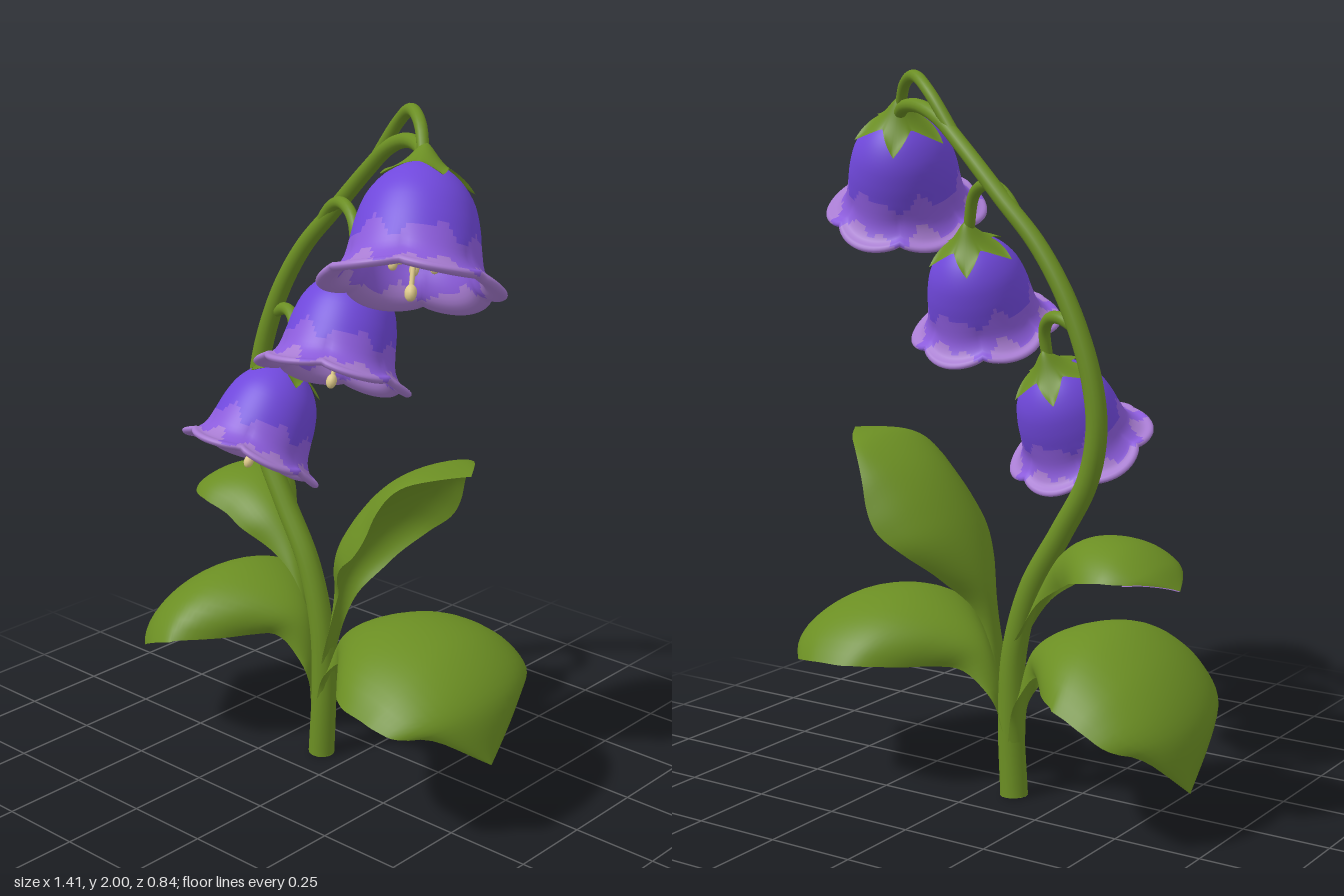
import * as THREE from 'three';

const mat = (name, color, side = THREE.FrontSide) => {
  const m = new THREE.MeshStandardMaterial({ color, side });
  m.name = name;
  return m;
};
const green = mat('leafGreen', 0x6b8e23, THREE.DoubleSide);
const petals = [mat('petalViolet', 0x7048dc), mat('petalMid', 0x8c5cdc), mat('petalRimLilac', 0xa87cd2, THREE.DoubleSide)];
const cream = mat('stamenCream', 0xdcc888);
const V = (p) => new THREE.Vector3(...p);

// Surface from a rule point(u, v); wraps around in v when closed. pick(u, v) chooses a material index.
function surface(rows, cols, point, closed, pick) {
  const pos = [], n = closed ? cols : cols + 1;
  for (let i = 0; i <= rows; i++)
    for (let j = 0; j < n; j++) pos.push(...point(i / rows, j / cols));
  const bins = [[], [], []];
  for (let i = 0; i < rows; i++)
    for (let j = 0; j < cols; j++) {
      const k = (j + 1) % n, a = i * n + j, b = i * n + k, c = a + n, d = b + n;
      bins[pick ? pick((i + 0.5) / rows, (j + 0.5) / cols) : 0].push(a, b, c, b, d, c);
    }
  const g = new THREE.BufferGeometry();
  g.setAttribute('position', new THREE.Float32BufferAttribute(pos, 3));
  g.setIndex(bins.flat());
  if (pick) {
    let start = 0;
    bins.forEach((b, i) => { g.addGroup(start, b.length, i); start += b.length; });
  }
  g.computeVertexNormals();
  return g;
}

function add(parent, name, geometry, material) {
  const m = new THREE.Mesh(geometry, material);
  m.name = name;
  parent.add(m);
  return m;
}

// Tube that tapers from r0 to r1
function taperedTube(points, r0, r1, rows, cols = 14) {
  const curve = new THREE.CatmullRomCurve3(points.map(V));
  const f = curve.computeFrenetFrames(rows, false);
  return surface(rows, cols, (u, v) => {
    const i = Math.round(u * rows), a = v * Math.PI * 2, r = r0 + (r1 - r0) * u;
    return curve.getPointAt(u)
      .addScaledVector(f.normals[i], r * Math.cos(a))
      .addScaledVector(f.binormals[i], r * Math.sin(a)).toArray();
  }, true);
}

// Leaf along a midrib; shape gives [half width, droop of the edges] at even steps.
// It can begin part of the way along (from) and be sunk below the leaf face (sink).
function leaf(midrib, shape, dir, from = 0, sink = 0) {
  const rib = new THREE.CatmullRomCurve3(midrib.map(V));
  const form = new THREE.CatmullRomCurve3(shape.map(([w, d]) => new THREE.Vector3(w, d, 0)), false, 'catmullrom', 0.5);
  const Z = new THREE.Vector3(0, 0, 1);
  return surface(48, 20, (u, v) => {
    const t = from + (1 - from) * u, s = v * 2 - 1, q = form.getPoint(t), w = Math.max(q.x, 0);
    const up = Z.clone().cross(rib.getTangent(t)).normalize().multiplyScalar(dir);
    return rib.getPoint(t).addScaledVector(Z, w * Math.sin(1.15 * s) / Math.sin(1.15))
      .addScaledVector(up, -q.y * w * s * s - sink).toArray();
  }, false);
}

// Bell profile: down the outside, round the rim, up the inside
const profile = new THREE.SplineCurve([
  [0, 0], [0.05, -0.012], [0.1, -0.048], [0.137, -0.1], [0.156, -0.16], [0.165, -0.215], [0.178, -0.265],
  [0.206, -0.298], [0.232, -0.306], [0.238, -0.318], [0.222, -0.325], [0.186, -0.308], [0.162, -0.268],
  [0.15, -0.215], [0.142, -0.16], [0.12, -0.1], [0.07, -0.045], [0, -0.025],
].map(([x, y]) => new THREE.Vector2(x, y)));

function bellPoint(u, v) {
  const p = profile.getPoint(u), a = v * Math.PI * 2;
  const flare = THREE.MathUtils.smoothstep(-p.y, 0.2, 0.31);
  const lobe = Math.pow(Math.abs(Math.sin(3 * a)), 0.8);
  const r = Math.max(p.x, 0) * (1 - 0.09 * flare * (1 - lobe));
  return [r * Math.cos(a), p.y - 0.018 * flare * (lobe - 0.5), r * Math.sin(a)];
}

// Uneven colour bands, lighter towards the rim
function bellBand(u, v) {
  const a = v * Math.PI * 2;
  const y = profile.getPoint(u).y + 0.018 * Math.sin(6 * a + 1) + 0.012 * Math.sin(11 * a);
  return y < -0.292 ? 2 : y < -0.21 ? 1 : 0;
}

// Five-pointed cap standing a little off the top of the bell, with a neck up to the stalk
function calyxPoint(u, v) {
  const a = v * Math.PI * 2 + 0.5, s = Math.abs(((v * 5) % 1) * 2 - 1);
  const r = u * (0.07 + 0.066 * Math.pow(s, 1.3));
  const y = 0.024 - 0.42 * r - 3 * r * r + 0.022 * s * u ** 6 + 0.03 * Math.exp(-((r / 0.036) ** 2));
  return [r * Math.cos(a), y, r * Math.sin(a)];
}

function flower(apex, mouth, scale) {
  const g = new THREE.Group();
  g.name = 'flower';
  add(g, 'bell', surface(60, 96, bellPoint, true, bellBand), petals);
  add(g, 'calyx', surface(14, 80, calyxPoint, true), green);
  const filament = (name, x, z, y, r, ball) => {
    add(g, name, taperedTube([[0, -0.05, 0], [x * 0.7, y * 0.6, z * 0.7], [x, y, z]], r, r * 0.8, 8, 8), cream);
    const tip = add(g, name + 'Tip', new THREE.SphereGeometry(ball, 12, 8), cream);
    tip.position.set(x, y, z);
    tip.scale.y = 1.4;
  };
  filament('pistil', 0, 0, -0.335, 0.008, 0.016);
  for (let i = 0; i < 5; i++) {
    const a = (i / 5) * Math.PI * 2 + 0.3;
    filament('stamen', 0.055 * Math.cos(a), 0.055 * Math.sin(a), -0.26, 0.007, 0.013);
  }
  const axis = V(mouth).sub(V(apex)).normalize();
  g.quaternion.setFromUnitVectors(new THREE.Vector3(0, -1, 0), axis);
  g.position.copy(V(apex));
  g.scale.setScalar(scale);
  return g;
}

export function createModel() {
  const model = new THREE.Group();
  model.name = 'bellflowerPlant';

  // Arching main stem
  add(model, 'stem', taperedTube([
    [-0.095, 0, -0.115], [-0.085, 0.22, -0.115], [-0.095, 0.41, -0.115], [-0.15, 0.6, -0.118],
    [-0.25, 0.77, -0.122], [-0.335, 0.92, -0.128], [-0.365, 1.06, -0.134], [-0.35, 1.2, -0.138],
    [-0.28, 1.39, -0.14], [-0.185, 1.54, -0.14], [-0.07, 1.66, -0.138], [0.065, 1.79, -0.12],
    [0.16, 1.865, -0.095], [0.25, 1.9, -0.06], [0.345, 1.9, -0.005], [0.42, 1.87, 0.065],
  ], 0.039, 0.018, 90), green);
  const cap = add(model, 'stemBase', new THREE.CircleGeometry(0.039, 14), green);
  cap.rotation.x = Math.PI / 2;
  cap.position.set(-0.095, 0.001, -0.115);

  // Flower stalks
  [
    [[0.1, 1.82, -0.11], [0.2, 1.94, -0.09], [0.28, 1.984, -0.045], [0.36, 1.96, 0.015], [0.41, 1.88, 0.06]],
    [[-0.13, 1.6, -0.14], [-0.07, 1.67, -0.125], [0, 1.695, -0.095], [0.075, 1.665, -0.055], [0.12, 1.55, -0.02]],
    [[-0.3, 1.33, -0.14], [-0.25, 1.35, -0.13], [-0.205, 1.345, -0.11], [-0.172, 1.31, -0.085], [-0.17, 1.215, -0.062]],
  ].forEach((p) => add(model, 'flowerStalk', taperedTube(p, 0.018, 0.016, 24), green));

  // Hanging bells
  model.add(flower([0.41, 1.878, 0.06], [0.49, 1.588, 0.2], 1));
  model.add(flower([0.12, 1.542, -0.02], [0.145, 1.272, 0.107], 0.91));
  model.add(flower([-0.17, 1.212, -0.062], [-0.19, 0.965, 0.08], 0.88));

  // Broad lower leaves with a short point
  const broad = [
    [0.035, -0.8], [0.04, -0.3], [0.05, 0.5], [0.075, 0.9], [0.14, 0.75], [0.22, 0.6], [0.285, 0.52],
    [0.313, 0.5], [0.32, 0.47], [0.315, 0.43], [0.28, 0.37], [0.155, 0.3], [0, 0.2],
  ];
  add(model, 'lowerLeftLeaf', leaf([
    [-0.06, 0.16, -0.115], [-0.045, 0.3, -0.115], [0.01, 0.42, -0.112], [0.12, 0.5, -0.108],
    [0.27, 0.54, -0.1], [0.45, 0.51, -0.085], [0.58, 0.41, -0.06], [0.625, 0.25, -0.01],
  ], broad, 1), green);
  add(model, 'lowerRightLeaf', leaf([
    [-0.125, 0.16, -0.115], [-0.125, 0.3, -0.115], [-0.165, 0.43, -0.112], [-0.27, 0.505, -0.105],
    [-0.42, 0.53, -0.1], [-0.57, 0.46, -0.11], [-0.68, 0.32, -0.14], [-0.7, 0.15, -0.21],
  ], broad, -1), green);

  // Narrower upper leaves
  add(model, 'upperLeftLeaf', leaf([
    [-0.07, 0.18, -0.115], [-0.045, 0.43, -0.115], [-0.02, 0.62, -0.13], [0.05, 0.79, -0.15],
    [0.16, 0.925, -0.16], [0.29, 0.995, -0.155], [0.43, 1, -0.14],
  ], [
    [0.03, -0.6], [0.03, -0.3], [0.032, 0.4], [0.055, 0.8], [0.125, 0.6], [0.19, 0.55], [0.215, 0.6],
    [0.21, 0.55], [0.195, 0.38], [0.165, 0.2], [0.105, 0.1], [0, 0],
  ], 1), green);
  const upperRib = [
    [-0.115, 0.42, -0.115], [-0.19, 0.6, -0.13], [-0.29, 0.73, -0.165], [-0.41, 0.795, -0.21],
    [-0.53, 0.795, -0.225], [-0.62, 0.75, -0.23], [-0.675, 0.69, -0.235],
  ];
  const upperShape = [
    [0.03, -0.6], [0.035, 0.3], [0.06, 0.9], [0.11, 0.8], [0.145, 0.65], [0.165, 0.55],
    [0.17, 0.45], [0.155, 0.35], [0.1, 0.2], [0, 0],
  ];
  add(model, 'upperRightLeaf', leaf(upperRib, upperShape, -1), green);
  // Lilac tint under the tip of that leaf
  add(model, 'leafTipUnderside', leaf(upperRib, upperShape, -1, 0.81, 0.004), petals[2]);

  return model;
}
